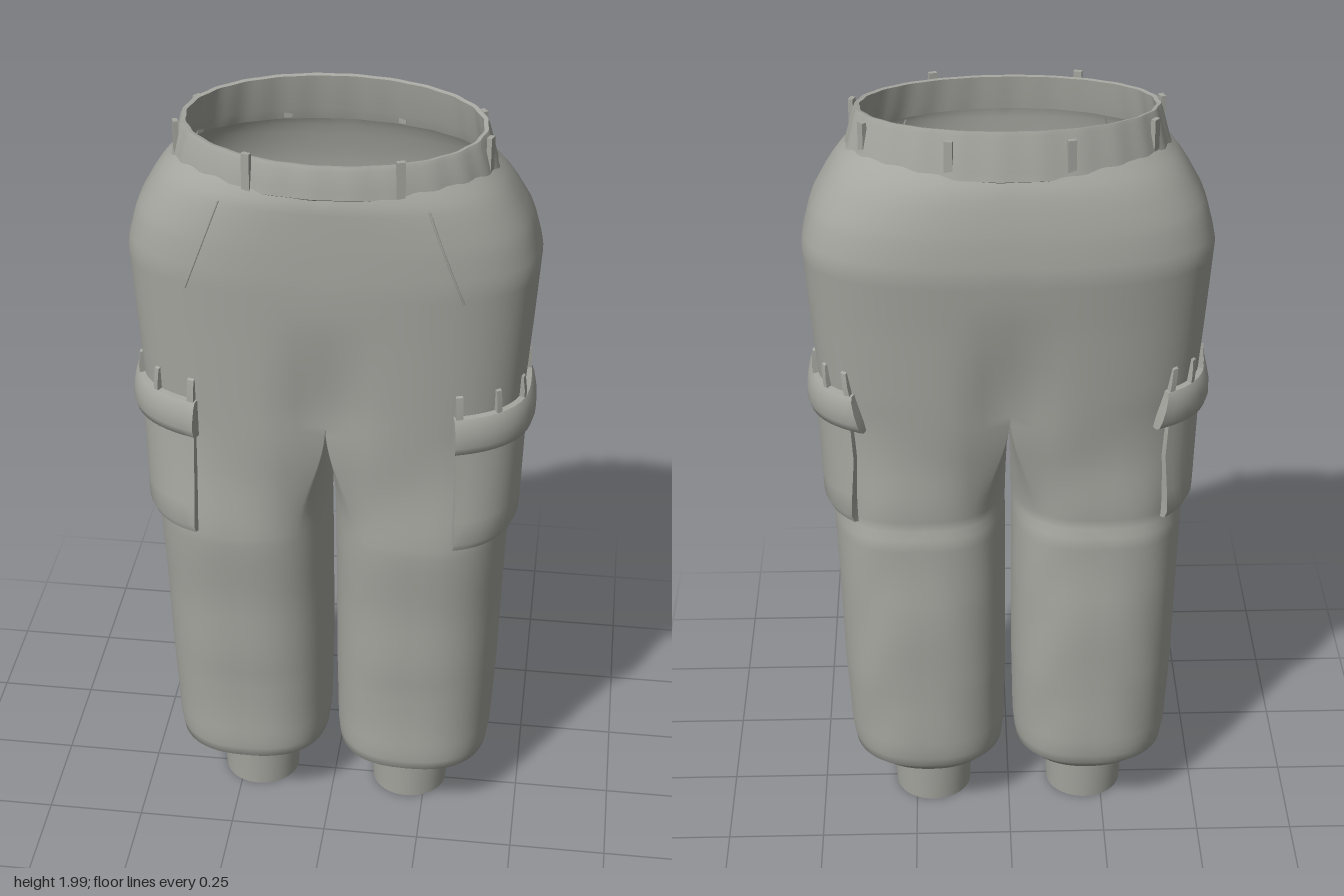
import * as THREE from 'three';
import { mergeGeometries, mergeVertices, toCreasedNormals } from 'three/addons/utils/BufferGeometryUtils.js';

const CROTCH = 1.25;
const RAD = Math.PI / 180;
// silhouette of the left half: y, inner x, outer x, front z, back z, squareness
const SECTIONS = [
  [0.10, 0.108, 0.302, 0.085, -0.105, 2.0],
  [0.125, 0.09, 0.32, 0.10, -0.12, 2.1],
  [0.155, 0.045, 0.375, 0.155, -0.17, 2.3],
  [0.19, 0.017, 0.412, 0.195, -0.20, 2.5],
  [0.24, 0.012, 0.42, 0.20, -0.208, 2.5],
  [0.45, 0.008, 0.43, 0.203, -0.214, 2.5],
  [0.70, 0.008, 0.436, 0.22, -0.214, 2.5],
  [0.905, 0.008, 0.443, 0.236, -0.206, 2.5],
  [0.925, 0.008, 0.443, 0.236, -0.192, 2.5],
  [1.10, 0.006, 0.455, 0.236, -0.203, 2.6],
  [1.30, 0.0, 0.468, 0.24, -0.222, 2.8],
  [1.50, 0.0, 0.482, 0.248, -0.24, 2.8],
  [1.66, 0.0, 0.492, 0.256, -0.258, 2.8],
  [1.75, 0.0, 0.468, 0.256, -0.25, 2.7],
  [1.83, 0.0, 0.424, 0.254, -0.234, 2.5],
  [1.87, 0.0, 0.394, 0.252, -0.22, 2.3],
  [1.895, 0.0, 0.368, 0.24, -0.203, 2.2],
];

function section(y) {
  let i = 1;
  while (i < SECTIONS.length - 1 && SECTIONS[i][0] < y) i++;
  const a = SECTIONS[i - 1], b = SECTIONS[i];
  const t = THREE.MathUtils.clamp((y - a[0]) / (b[0] - a[0]), 0, 1);
  return a.map((v, k) => v + (b[k] - v) * t);
}

const power = (v, n) => Math.sign(v) * Math.pow(Math.abs(v), 2 / n);

// point on the cloth: the half-hip outline blends into a full leg loop below the crotch
function cloth(u, y, inner = false) {
  const [, xi, xo, zf, zb, n] = section(y);
  const cz = (zf + zb) / 2, rz = (zf - zb) / 2;
  const legAngle = (inner ? -130 - 100 * u : 130 - 260 * u) * RAD;
  const hipAngle = (90 - 180 * u) * RAD;
  let hx = inner ? 0 : xo * power(Math.max(0, Math.cos(hipAngle)), n);
  if (hx < 1e-6) hx = 0;
  let hz = inner ? -Math.cos(Math.PI * u) : power(Math.sin(hipAngle), n);
  const cleft = 1 - THREE.MathUtils.smoothstep(y, CROTCH, 1.6);
  hz *= 1 - 0.16 * cleft * Math.exp(-((hx / 0.08) ** 2));
  const lx = (xi + xo) / 2 + (xo - xi) / 2 * power(Math.cos(legAngle), n);
  const lz = power(Math.sin(legAngle), n);
  const w = 1 - THREE.MathUtils.smoothstep(y, 0.92, CROTCH);
  // soft folds around the knee and ankle
  const mask = THREE.MathUtils.smoothstep(y, 0.15, 0.3) * w;
  const fold = 1 - 0.022 * mask * (0.5 + 0.5 * Math.sin(17 * y + 4 * Math.sin(legAngle) + 2 * Math.cos(2 * legAngle)));
  return new THREE.Vector3(hx + (lx - hx) * w, y, cz + rz * (hz + (lz - hz) * w) * fold);
}

// point raised off the outer cloth
function raised(u, y, offset) {
  const p = cloth(u, y), a = cloth(u - 0.004, y), b = cloth(u + 0.004, y);
  const normal = new THREE.Vector3(a.z - b.z, 0, b.x - a.x).normalize();
  return p.addScaledVector(normal, offset);
}

// surface through a grid of points, mirrored when side is -1
function grid(rows, cols, point, side = 1) {
  const pos = [], index = [];
  for (let i = 0; i <= rows; i++) for (let j = 0; j <= cols; j++) {
    const p = point(i, j);
    pos.push(p.x * side, p.y, p.z);
  }
  for (let i = 0; i < rows; i++) for (let j = 0; j < cols; j++) {
    const a = i * (cols + 1) + j, b = a + 1, c = b + cols + 1, d = c - 1;
    if (side > 0) index.push(a, b, c, a, c, d);
    else index.push(a, c, b, a, d, c);
  }
  const g = new THREE.BufferGeometry();
  g.setAttribute('position', new THREE.Float32BufferAttribute(pos, 3));
  g.setIndex(index);
  return g;
}

function smooth(g) {
  const merged = mergeVertices(g, 1e-4);
  merged.computeVertexNormals();
  return merged;
}

// u on the outer cloth at a given front x, or at a given back z
function findU(y, test, lo, hi) {
  for (let k = 0; k < 24; k++) {
    const mid = (lo + hi) / 2;
    if (test(cloth(mid, y))) hi = mid; else lo = mid;
  }
  return lo;
}
const frontU = (x, y) => findU(y, p => p.x > x, 0.02, 0.5);
const backU = (z, y) => findU(y, p => p.z < z, 0.5, 0.98);

// raised panel following the cloth; profile is [y, offset] from bottom to top
function panel(profile, frontX, backZ, side, from = 0, to = 1, cols = 22) {
  const g = grid(profile.length - 1, cols + 2, (i, j) => {
    const [y, off] = profile[i];
    const t = THREE.MathUtils.clamp((j - 1) / cols, 0, 1);
    const u0 = frontU(frontX, y), u1 = backU(backZ, y);
    const edge = j === 0 || j === cols + 2;
    return raised(u0 + (u1 - u0) * (from + (to - from) * t), y, edge ? -0.008 : off);
  }, side);
  return toCreasedNormals(g, 0.8);
}

// closed ring; profile is [y, radius x, front z, back z]
function ring(profile, cx, tilt = 0, ripple = 0, count = 96) {
  return toCreasedNormals(grid(profile.length - 1, count, (i, j) => {
    const [y, rx, zf, zb] = profile[i];
    const a = -(j % count) / count * Math.PI * 2;
    const r = 1 + ripple * Math.sin(a * 24);
    const z = (zf + zb) / 2 + (zf - zb) / 2 * Math.sin(a) * r;
    return new THREE.Vector3(cx + rx * Math.cos(a) * r, y - (y > 1.92 ? tilt * z : 0), z);
  }), 0.7);
}

export function createModel() {
  const model = new THREE.Group();
  const fabric = new THREE.MeshStandardMaterial({ color: 0xa6a6a0, side: THREE.DoubleSide });
  fabric.name = 'grey fabric';
  const add = (name, geometry) => {
    const mesh = new THREE.Mesh(geometry, fabric);
    mesh.name = name;
    model.add(mesh);
    return mesh;
  };

  // hips and legs as one cloth surface
  const legRows = [0.1, 0.125, 0.14, 0.155, 0.172, 0.19, 0.215];
  for (let y = 0.24; y < 0.89; y += 0.03) legRows.push(y);
  legRows.push(0.905, 0.925);
  for (let k = 1; k <= 12; k++) legRows.push(0.925 + (CROTCH - 0.925) * k / 12);
  const allRows = [...legRows];
  for (let k = 1; k <= 24; k++) allRows.push(CROTCH + (1.895 - CROTCH) * k / 24);
  const sheets = [];
  for (const s of [1, -1]) {
    sheets.push(grid(allRows.length - 1, 48, (i, j) => cloth(j / 48, allRows[i]), s));
    sheets.push(grid(legRows.length - 1, 20, (i, j) => cloth(j / 20, legRows[i], true), s));
  }
  add('trouserCloth', smooth(mergeGeometries(sheets)));

  // waistband, higher at the back
  add('waistband', ring([
    [1.872, 0.372, 0.243, -0.208], [1.88, 0.382, 0.252, -0.216], [1.90, 0.376, 0.249, -0.211],
    [1.965, 0.359, 0.243, -0.196], [1.976, 0.354, 0.238, -0.192],
    [1.974, 0.344, 0.229, -0.183], [1.90, 0.358, 0.234, -0.196], [1.87, 0.37, 0.238, -0.205],
  ], 0, 0.085, 0.005, 144));

  // belt loops
  for (const deg of [12, 62, 118, 168, 205, 248, 292, 335]) {
    const a = deg * RAD;
    const loop = add('beltLoop', new THREE.BoxGeometry(0.02, 0.095, 0.012));
    loop.position.set(0.371 * Math.cos(a), 1.923, 0.021 + 0.227 * Math.sin(a));
    loop.rotation.y = Math.atan2(Math.cos(a) / 0.371, Math.sin(a) / 0.227);
  }

  for (const s of [1, -1]) {
    // ankle cuff
    add('ankleCuff', ring([
      [0.004, 0.092, 0.08, -0.1], [0, 0.1, 0.088, -0.108], [0.06, 0.103, 0.09, -0.111],
      [0.112, 0.106, 0.093, -0.114], [0.12, 0.098, 0.085, -0.105],
      [0.11, 0.093, 0.08, -0.1], [0.004, 0.091, 0.079, -0.099],
    ], 0.205 * s, 0, 0, 40));

    // cargo pocket bag and its overhanging flap
    add('cargoPocket', panel([
      [0.935, -0.006], [0.94, 0.014], [0.96, 0.022], [1.02, 0.02], [1.12, 0.016], [1.22, 0.012], [1.23, -0.006],
    ], 0.315, -0.152, s));
    add('pocketFlap', panel([
      [1.208, -0.004], [1.207, 0.016], [1.215, 0.028], [1.235, 0.033], [1.265, 0.03],
      [1.295, 0.022], [1.307, 0.014], [1.31, -0.006],
    ], 0.308, -0.168, s));

    // gathered pleats above the flap
    for (const t of [0.0, 0.2, 0.42, 0.64, 0.82, 0.97]) {
      add('flapPleat', panel([[1.30, 0.014], [1.33, 0.012], [1.365, 0.006], [1.37, -0.005]],
        0.312, -0.165, s, t, t + 0.03, 2));
    }

    // slanted hand pocket seam
    const path = [];
    for (let k = 0; k <= 8; k++) {
      const y = 1.85 - 0.23 * k / 8;
      const p = raised(frontU(0.24 + 0.085 * k / 8, y), y, 0);
      path.push(new THREE.Vector3(p.x * s, p.y, p.z));
    }
    add('handPocketSeam', new THREE.TubeGeometry(new THREE.CatmullRomCurve3(path), 24, 0.003, 6));
  }
  return model;
}
